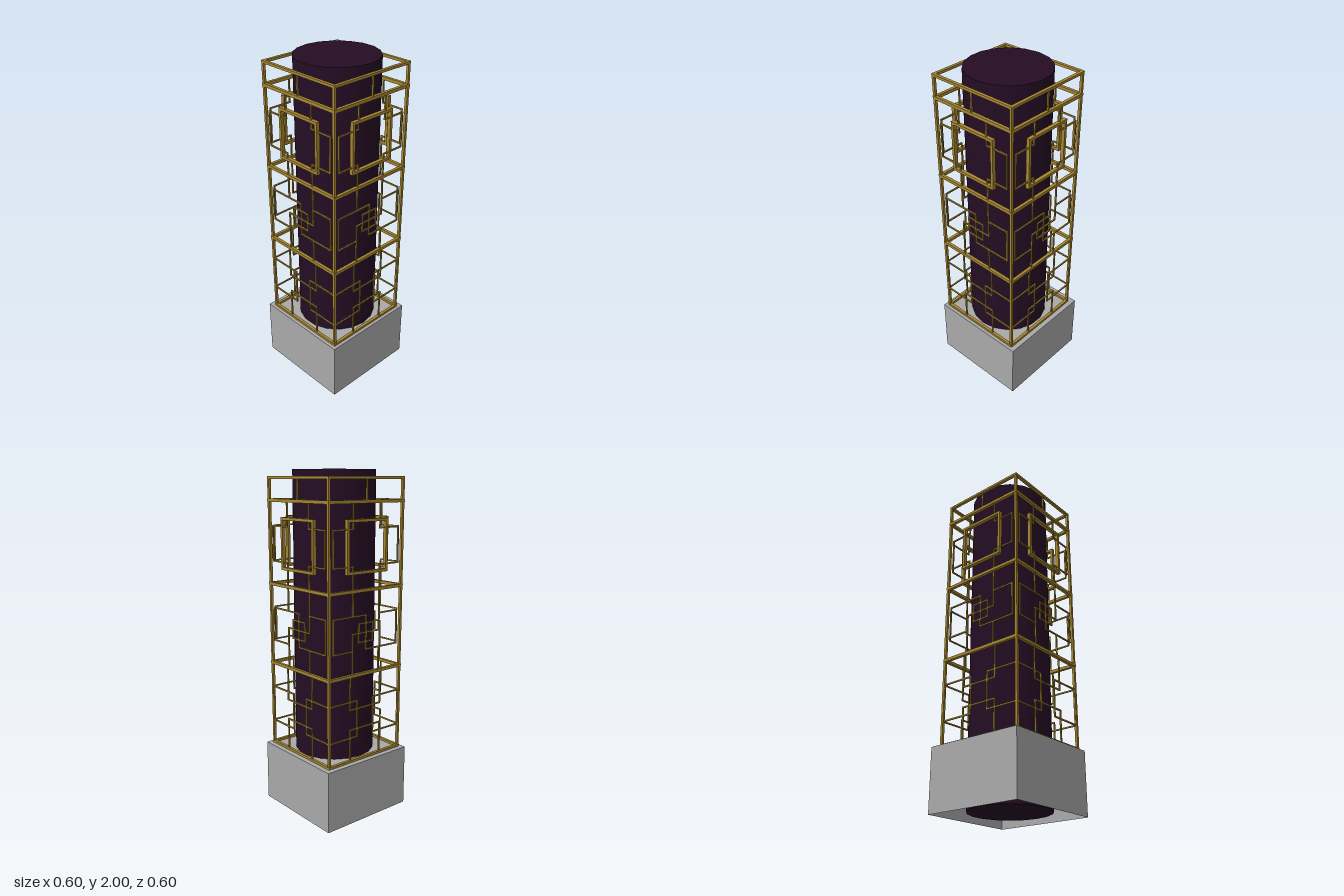
import * as THREE from 'three';

export function createModel() {
  const gold = new THREE.MeshStandardMaterial({ color: 0xa5852f });
  gold.name = 'gold';
  const plum = new THREE.MeshStandardMaterial({ color: 0x250d24 });
  plum.name = 'dark plum';
  const grey = new THREE.MeshStandardMaterial({ color: 0xa9a9a9, side: THREE.DoubleSide });
  grey.name = 'stone grey';

  const model = new THREE.Group();

  // Hollow plinth, open underneath: the downward face group is dropped
  const plinthGeo = new THREE.BoxGeometry(0.6, 0.365, 0.6);
  plinthGeo.groups.splice(3, 1);
  const plinth = new THREE.Mesh(plinthGeo, Array(6).fill(grey));
  plinth.name = 'plinth';
  plinth.position.y = 0.1825;
  model.add(plinth);

  // Eighteen-sided column running down through the plinth
  const column = new THREE.Mesh(new THREE.CylinderGeometry(0.235, 0.235, 1.98, 18), plum);
  column.name = 'column';
  column.rotation.y = Math.PI / 2;
  column.position.set(0.01, 1.01, 0);
  model.add(column);

  const cage = new THREE.Group();
  cage.name = 'cage';
  cage.position.set(0.006, 0, 0.005);
  model.add(cage);

  const R = 0.266; // distance from the cage axis to each lattice plane

  // Axis-aligned bar between two points of a lattice plane
  function bar(parent, name, x1, y1, x2, y2, t, depth = t) {
    const geo = new THREE.BoxGeometry(Math.abs(x2 - x1) + t, Math.abs(y2 - y1) + t, depth);
    const mesh = new THREE.Mesh(geo, gold);
    mesh.name = name;
    mesh.position.set((x1 + x2) / 2, (y1 + y2) / 2, R);
    parent.add(mesh);
  }

  // Chain of bars through a list of points
  function path(parent, name, pts, t = 0.008, depth = t) {
    for (let i = 1; i < pts.length; i++) bar(parent, name, ...pts[i - 1], ...pts[i], t, depth);
  }

  const rect = (x, y, hw, hh) => [
    [x - hw, y - hh], [x + hw, y - hh], [x + hw, y + hh], [x - hw, y + hh], [x - hw, y - hh],
  ];

  function lattice() {
    const g = new THREE.Group();
    g.name = 'latticeSide';

    // Frame: one corner post and the horizontal rails
    bar(g, 'cornerPost', -R, 0.373, -R, 1.953, 0.015);
    for (const [y, t] of [[0.372, 0.014], [0.88, 0.018], [1.356, 0.018], [1.832, 0.018], [1.956, 0.014]])
      bar(g, 'rail', -R, y, R, y, t, 0.018);
    bar(g, 'topDivider', 0, 1.836, 0, 1.95, 0.009);

    // Upper panel: thick square over a thin cross outline
    path(g, 'squareFrame', rect(0.001, 1.595, 0.139, 0.139), 0.016, 0.022);
    for (const s of [-1, 1])
      path(g, 'crossOutline', [
        [s * 0.098, 1.83], [s * 0.098, 1.69], [s * 0.236, 1.69],
        [s * 0.236, 1.49], [s * 0.098, 1.49], [s * 0.098, 1.36],
      ]);

    // Middle panel: cross outline whose arms spiral into a small square
    const cy = 1.118;
    for (const s of [-1, 1]) {
      path(g, 'pinwheelArm', [
        [s * 0.236, cy + s * 0.098], [s * 0.236, cy - s * 0.098], 
      ]);
      path(g, 'pinwheelArm', [
        [s * 0.236, cy - s * 0.098], [0, cy - s * 0.098], [0, cy],
      ]);
      path(g, 'pinwheelArm', [
        [s * 0.098, cy + s * 0.235], [s * 0.098, cy], [0, cy],
      ]);
      path(g, 'pinwheelArm', [
        [s * 0.098, cy - s * 0.235], [s * 0.098, cy - s * 0.098],
      ]);
      path(g, 'pinwheelArm', [
        [s * 0.236, cy + s * 0.098], [s * 0.098, cy + s * 0.098],
      ]);
    }
    path(g, 'pinwheelSquare', rect(0, cy, 0.053, 0.053));

    // Lower panel: overlapping bands with knotted corners
    for (const s of [-1, 1]) {
      path(g, 'sideBand', rect(s * 0.16, 0.62, 0.1, 0.108));
      for (const [y, end] of [[0.68, 0.88], [0.56, 0.372]])
        path(g, 'verticalBand', [[s * 0.113, end], [s * 0.113, y], [0, y]]);
    }
    return g;
  }

  // The same lattice on all four sides
  for (let i = 0; i < 4; i++) {
    const side = lattice();
    side.rotation.y = (i * Math.PI) / 2;
    cage.add(side);
  }

  return model;
}
